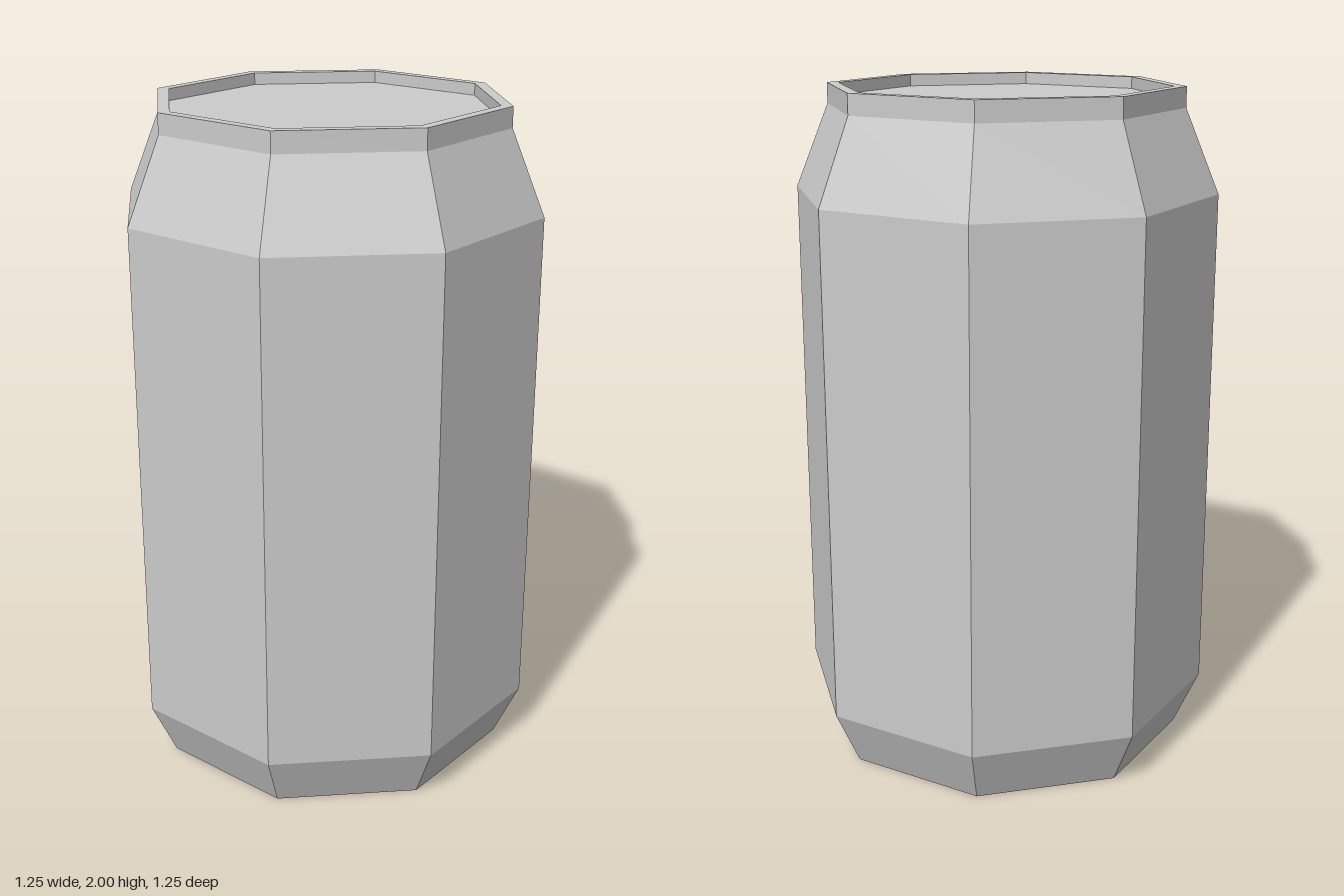
import * as THREE from 'three';

const SIDES = 8;
const material = new THREE.MeshStandardMaterial({ color: 0xcccccc, flatShading: true });

// Eight-sided ring of facets; profile runs up the outside as [radius, y]
function facetedRing(name, profile) {
  const points = profile.map(([r, y]) => new THREE.Vector2(r, y));
  const geometry = new THREE.LatheGeometry(points, SIDES).toNonIndexed();
  geometry.computeVertexNormals();
  const mesh = new THREE.Mesh(geometry, material);
  mesh.name = name;
  return mesh;
}

// Flat octagonal disc facing up or down
function disc(name, radius, y, facing) {
  const geometry = new THREE.CircleGeometry(radius, SIDES);
  geometry.rotateX(-facing * Math.PI / 2);
  geometry.translate(0, y, 0);
  const mesh = new THREE.Mesh(geometry, material);
  mesh.name = name;
  return mesh;
}

export function createModel() {
  const can = new THREE.Group();
  can.name = 'can';
  can.add(
    disc('base', 0.55, 0, -1),
    facetedRing('lowerTaper', [[0.55, 0], [0.627, 0.17]]),
    facetedRing('body', [[0.627, 0.17], [0.627, 1.695]]),
    facetedRing('shoulder', [[0.627, 1.695], [0.526, 1.94]]),
    // Rim: outer wall, flat lip, inner wall down to the sunken lid
    facetedRing('rim', [[0.526, 1.94], [0.526, 2], [0.491, 2], [0.491, 1.965]]),
    disc('lid', 0.491, 1.965, 1),
  );
  return can;
}
